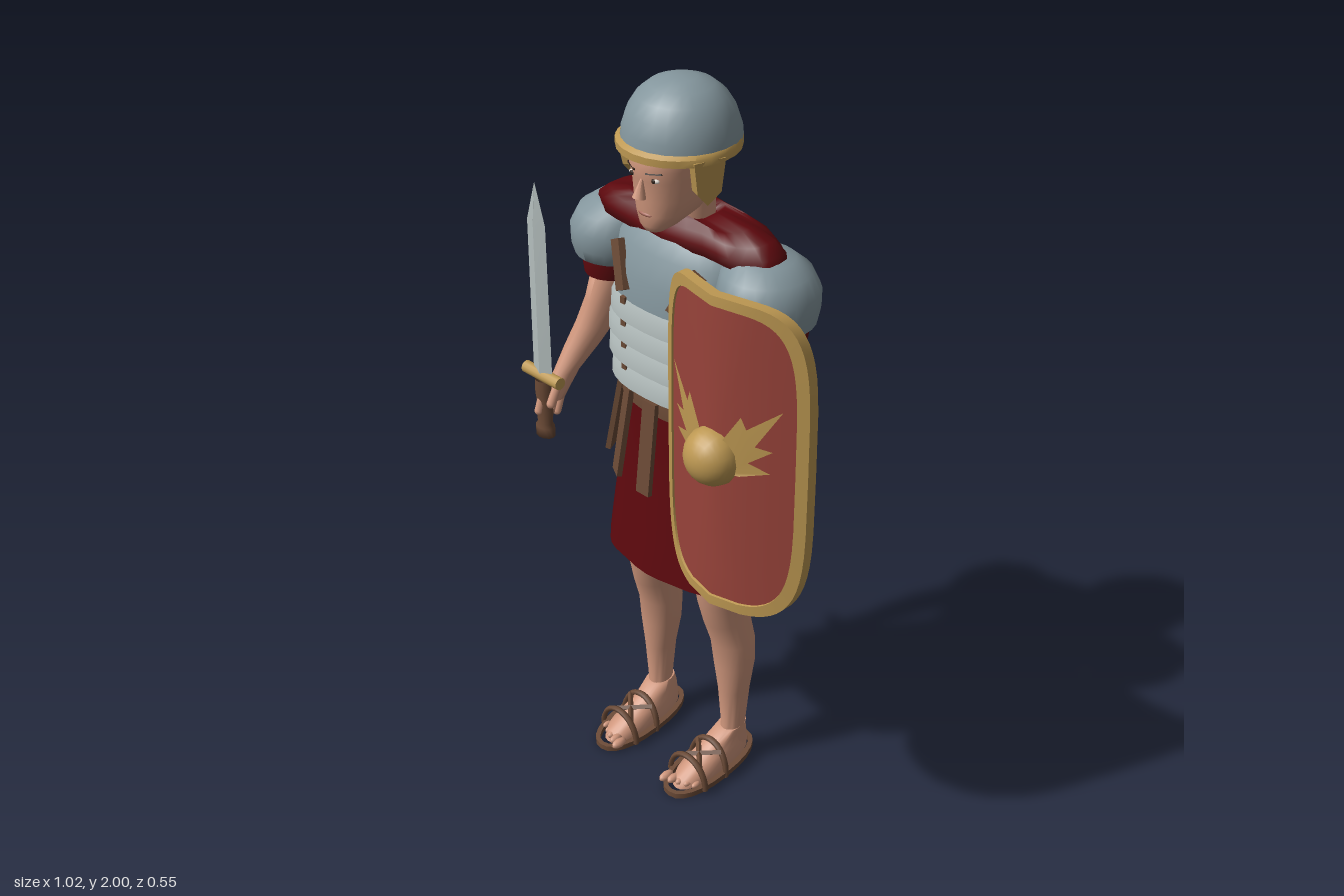
import * as THREE from 'three';
import { toCreasedNormals } from 'three/addons/utils/BufferGeometryUtils.js';

const mat = (name, color, side = THREE.FrontSide) => {
  const m = new THREE.MeshStandardMaterial({ color, side });
  m.name = name;
  return m;
};
const D = THREE.DoubleSide;
const M = {
  skin: mat('skin', 0xcf967c), lips: mat('lips', 0xa8685a),
  steel: mat('steel', 0x84969d, D), plate: mat('bright plate', 0xb2bcbb, D),
  gold: mat('brass', 0xbd9852, D), leather: mat('leather', 0x6b4a36, D),
  cloth: mat('dark red cloth', 0x5c080d, D), red: mat('shield red', 0x98433a),
  white: mat('eye white', 0xe0d8d0), dark: mat('dark brown', 0x33241c),
};

function add(parent, name, geo, m, x = 0, y = 0, z = 0) {
  const mesh = new THREE.Mesh(geo, m);
  mesh.name = name;
  mesh.position.set(x, y, z);
  parent.add(mesh);
  return mesh;
}

// Joins closed loops of points into a surface, with optional end caps
function skinLoops(rows, capStart, capEnd, crease = 0.9) {
  const n = rows[0].length, pos = rows.flat(2), idx = [];
  for (let i = 0; i < rows.length - 1; i++)
    for (let j = 0; j < n; j++) {
      const a = i * n + j, b = i * n + (j + 1) % n;
      idx.push(a, b, b + n, a, b + n, a + n);
    }
  const cap = (r, flip) => {
    const c = pos.length / 3, o = r * n;
    for (let k = 0; k < 3; k++) pos.push(rows[r].reduce((s, p) => s + p[k], 0) / n);
    for (let j = 0; j < n; j++) {
      const a = o + j, b = o + (j + 1) % n;
      idx.push(c, flip ? b : a, flip ? a : b);
    }
  };
  if (capStart) cap(0, true);
  if (capEnd) cap(rows.length - 1, false);
  const g = new THREE.BufferGeometry();
  g.setAttribute('position', new THREE.Float32BufferAttribute(pos, 3));
  g.setIndex(idx);
  return toCreasedNormals(g, crease);
}

const pw = (v, p) => Math.sign(v) * Math.abs(v) ** (2 / p);

// Upright loft; each ring is [y, centre x, centre z, radius x, radius z], bottom to top
function loft(rings, { n = 24, p = 2, start = true, end = true, warp, crease } = {}) {
  const rows = rings.map(([y, cx, cz, rx, rz]) => Array.from({ length: n }, (_, j) => {
    const a = j / n * Math.PI * 2;
    const v = [cx + rx * pw(Math.sin(a), p), y, cz + rz * pw(Math.cos(a), p)];
    return warp ? warp(v, a) : v;
  }));
  return skinLoops(rows, start, end, crease);
}

// Flat strip between a lower and an upper point, turned about its length
function strip(parent, name, from, to, w, t, m, turn = 0) {
  const a = new THREE.Vector3(...from), d = new THREE.Vector3(...to).sub(a);
  const mesh = add(parent, name, new THREE.BoxGeometry(w, d.length(), t).rotateY(turn), m);
  mesh.position.copy(a).addScaledVector(d, 0.5);
  mesh.quaternion.setFromUnitVectors(new THREE.Vector3(0, 1, 0), d.normalize());
}

function addHead(g) {
  add(g, 'neck', loft([[1.56, 0, -0.085, 0.07, 0.07], [1.64, 0, -0.08, 0.06, 0.065], [1.76, 0, -0.085, 0.06, 0.062]]), M.skin);
  add(g, 'head', loft([
    [1.645, 0, 0.035, 0.026, 0.026], [1.66, 0, 0.022, 0.045, 0.047], [1.69, 0, -0.01, 0.068, 0.082],
    [1.73, 0, -0.033, 0.082, 0.109], [1.78, 0, -0.036, 0.09, 0.114], [1.81, 0, -0.034, 0.093, 0.12],
    [1.85, 0, -0.04, 0.094, 0.114], [1.9, 0, -0.045, 0.085, 0.1]], { p: 2.2, crease: 1.4 }), M.skin);
  const nose = add(g, 'nose', new THREE.ConeGeometry(0.017, 0.062, 8), M.skin, 0, 1.768, 0.08);
  nose.rotation.x = -0.24;
  add(g, 'mouth', new THREE.SphereGeometry(0.024, 12, 6).scale(1, 0.25, 0.35), M.lips, 0, 1.692, 0.067);
  for (const s of [-1, 1]) {
    add(g, 'eye', new THREE.SphereGeometry(0.014, 12, 8).scale(1, 0.5, 0.5), M.white, s * 0.036, 1.788, 0.069);
    add(g, 'iris', new THREE.SphereGeometry(0.006, 8, 6).scale(1, 1, 0.6), M.dark, s * 0.036, 1.788, 0.075);
    strip(g, 'eyebrow', [s * 0.018, 1.804, 0.082], [s * 0.056, 1.808, 0.066], 0.005, 0.006, M.dark);
  }
  // Helmet bowl, rim and cheek guards
  add(g, 'helmetBowl', loft([
    [1.85, 0, -0.054, 0.146, 0.146], [1.885, 0, -0.054, 0.143, 0.143], [1.925, 0, -0.054, 0.13, 0.13],
    [1.96, 0, -0.054, 0.108, 0.108], [1.985, 0, -0.054, 0.078, 0.078], [2, 0, -0.054, 0.036, 0.036]],
  { start: false, crease: 1.2 }), M.steel);
  add(g, 'helmetRim', loft([[1.842, 0, -0.049, 0.138, 0.138], [1.838, 0, -0.045, 0.151, 0.152],
    [1.856, 0, -0.045, 0.151, 0.152], [1.864, 0, -0.052, 0.145, 0.146]], { start: false, end: false }), M.gold);
  const cheek = new THREE.Shape([[-0.05, 0], [0.035, 0], [0.02, -0.085], [-0.01, -0.12], [-0.045, -0.09]]
    .map(([x, y]) => new THREE.Vector2(x, y)));
  for (const s of [-1, 1]) {
    const c = add(g, 'cheekGuard', new THREE.ExtrudeGeometry(cheek, { depth: 0.026, bevelEnabled: false })
      .translate(0, 0, -0.013).rotateY(-Math.PI / 2), M.gold, s * 0.129, 1.85, 0.0);
    c.rotation.set(0, -s * 0.25, -s * 0.12);
  }
}

function addTorso(g) {
  // Breastplate and overlapping waist bands
  add(g, 'breastplate', loft([
    [1.43, 0, -0.088, 0.208, 0.155], [1.5, 0, -0.093, 0.212, 0.155], [1.57, 0, -0.103, 0.21, 0.142],
    [1.615, 0, -0.1, 0.18, 0.115], [1.635, 0, -0.09, 0.11, 0.085]], { n: 32, p: 2.4 }), M.steel);
  for (let i = 0; i < 4; i++) {
    const y = 1.375 - i * 0.062, r = [0.205, 0.217, 0.216, 0.206][i];
    add(g, 'waistBand', loft([[y, 0, -0.088, r + 0.01, 0.165], [y + 0.035, 0, -0.088, r + 0.008, 0.163],
      [y + 0.066, 0, -0.088, r - 0.006, 0.15]], { n: 32, p: 2.5, crease: 0.6 }), M.plate);
    for (const s of [-1, 1])
      add(g, 'buckle', new THREE.BoxGeometry(0.016, 0.018, 0.014), M.leather, s * 0.088, y + 0.053, 0.06);
  }
  for (const s of [-1, 1])
    strip(g, 'chestStrap', [s * 0.088, 1.455, 0.064], [s * 0.14, 1.565, 0.03], 0.04, 0.018, M.leather, s * 0.25);
  // Neck scarf lying over the shoulders
  add(g, 'scarf', loft([
    [1.59, 0, -0.078, 0.275, 0.075], [1.6, 0, -0.08, 0.3, 0.093], [1.625, 0, -0.08, 0.293, 0.094], [1.65, 0, -0.08, 0.262, 0.082],
    [1.667, 0, -0.08, 0.2, 0.066], [1.672, 0, -0.08, 0.09, 0.064], [1.65, 0, -0.08, 0.06, 0.058]],
  { n: 36, p: 2.6, crease: 1.2, warp: ([x, y, z], a) => [x, y + 0.004 * Math.sin(5 * a), z + 0.004 * Math.cos(9 * a)] }), M.cloth);
  // Belt, tunic skirt and hanging straps
  add(g, 'belt', loft([[1.132, 0, -0.088, 0.204, 0.143], [1.165, 0, -0.088, 0.202, 0.143], [1.2, 0, -0.088, 0.19, 0.136]], { n: 32, p: 2.2 }), M.leather);
  add(g, 'skirt', loft([
    [0.655, 0, -0.096, 0.262, 0.178], [0.76, 0, -0.096, 0.249, 0.165], [0.9, 0, -0.096, 0.23, 0.147],
    [1.04, 0, -0.096, 0.206, 0.133], [1.17, 0, -0.09, 0.188, 0.126]],
  { n: 48, p: 2.2, start: false, end: false, warp: ([x, y, z], a) => {
    const k = (1.17 - y) / 0.515, f = 1 + 0.015 * k * Math.cos(10 * a);
    return [x * f, y + (Math.cos(a) < 0 ? -0.035 * Math.cos(a) * k * k : 0), -0.096 + (z + 0.096) * f];
  } }), M.cloth);
  for (const a of [-1.15, -0.5, 0, 0.5, 1.15])
    strip(g, 'beltStrap', [0.255 * Math.sin(a), 0.91, -0.085 + 0.172 * Math.cos(a)],
      [0.2 * Math.sin(a), 1.17, -0.085 + 0.143 * Math.cos(a)], 0.045, 0.014, M.leather, a);
}

function addArm(g, s) {
  const arm = new THREE.Group();
  arm.name = s < 0 ? 'rightArm' : 'leftArm';
  g.add(arm);
  add(arm, 'shoulderGuard', loft([
    [1.455, s * 0.268, -0.088, 0.108, 0.112], [1.49, s * 0.262, -0.088, 0.12, 0.126], [1.535, s * 0.258, -0.088, 0.124, 0.129],
    [1.58, s * 0.25, -0.088, 0.108, 0.112], [1.61, s * 0.235, -0.088, 0.08, 0.08], [1.625, s * 0.22, -0.088, 0.035, 0.035]],
  { crease: 1.2 }), M.steel);
  add(arm, 'sleeve', loft([[1.4, s * 0.272, -0.09, 0.078, 0.092], [1.44, s * 0.27, -0.09, 0.086, 0.098], [1.5, s * 0.26, -0.09, 0.08, 0.09]]), M.cloth);
  add(arm, 'limb', loft([
    [1.055, s * 0.338, 0.086, 0.024, 0.03], [1.085, s * 0.338, 0.07, 0.029, 0.036], [1.125, s * 0.332, 0.045, 0.029, 0.038],
    [1.185, s * 0.322, -0.002, 0.039, 0.053], [1.25, s * 0.308, -0.045, 0.046, 0.063], [1.32, s * 0.292, -0.07, 0.049, 0.066],
    [1.42, s * 0.272, -0.09, 0.058, 0.068]], { n: 16, crease: 1.4 }), M.skin);
  for (let i = 0; i < 4; i++) {
    const f = add(arm, 'finger', new THREE.CapsuleGeometry(0.011, 0.055, 3, 8), M.skin, s * (0.338 + 0.006 * i), 1.035 + 0.004 * i, 0.07 + i * 0.016);
    f.rotation.x = -0.35;
  }
  const thumb = add(arm, 'thumb', new THREE.CapsuleGeometry(0.012, 0.045, 3, 8), M.skin, s * 0.315, 1.075, 0.108);
  thumb.rotation.x = -0.5;
}

function addLeg(g, s) {
  const leg = new THREE.Group();
  leg.name = s < 0 ? 'rightLeg' : 'leftLeg';
  g.add(leg);
  add(leg, 'limb', loft([
    [0.06, s * 0.142, -0.105, 0.036, 0.048], [0.13, s * 0.145, -0.105, 0.031, 0.037], [0.25, s * 0.145, -0.106, 0.042, 0.046],
    [0.34, s * 0.143, -0.108, 0.056, 0.057], [0.42, s * 0.14, -0.104, 0.061, 0.061], [0.5, s * 0.135, -0.084, 0.057, 0.069],
    [0.57, s * 0.131, -0.074, 0.062, 0.076], [0.66, s * 0.127, -0.068, 0.069, 0.084], [0.8, s * 0.12, -0.075, 0.078, 0.09]],
  { crease: 1.4 }), M.skin);
  // Foot, with the heel raised a little
  const fx = s * 0.138, slope = ([x, y, z]) => [x, y + (0.14 - z) * 0.1, z];
  add(leg, 'foot', loft([
    [0.006, fx, -0.022, 0.05, 0.134], [0.03, fx, -0.028, 0.051, 0.128], [0.052, fx, -0.055, 0.042, 0.098],
    [0.075, fx, -0.08, 0.037, 0.07], [0.1, s * 0.143, -0.1, 0.033, 0.045]], { crease: 1.2, p: 2.3, warp: slope }), M.skin);
  for (let i = 0; i < 5; i++)
    add(leg, 'toe', new THREE.SphereGeometry(0.015 - 0.0015 * i, 8, 6).scale(0.9, 0.9, 1.7), M.skin,
      fx + s * (-0.042 + i * 0.021), 0.025, 0.108 - 0.008 * i);
  // Open sandal edge and straps
  add(leg, 'sandalEdge', loft([[0, fx, -0.015, 0.056, 0.144], [0, fx, -0.015, 0.072, 0.156], [0.016, fx, -0.015, 0.072, 0.156],
    [0.016, fx, -0.015, 0.056, 0.144], [0, fx, -0.015, 0.056, 0.144]], { p: 2.3, start: false, end: false, warp: slope }), M.leather);
  for (const [z, h, tilt] of [[0.065, 0.08, 0], [-0.015, 0.088, -0.1]]) {
    const t = add(leg, 'sandalStrap', new THREE.TorusGeometry(0.068, 0.007, 6, 16, Math.PI).scale(1, h / 0.068, 1.3), M.leather, fx, 0.014, z);
    t.rotation.x = tilt;
  }
  for (const k of [-1, 1]) strip(leg, 'crossStrap', [fx - k * 0.045, 0.075, 0.065], [fx + k * 0.045, 0.085, -0.02], 0.012, 0.01, M.leather);
}

function addSword(root) {
  const g = new THREE.Group();
  g.name = 'sword';
  g.position.set(-0.445, 0, 0.107);
  root.add(g);
  add(g, 'blade', loft([[1.13, 0, 0, 0.036, 0.013], [1.56, 0, 0, 0.034, 0.011], [1.668, 0, 0, 0.001, 0.001]], { n: 4, crease: 0.1 }), M.plate);
  add(g, 'guard', new THREE.CylinderGeometry(0.017, 0.017, 0.134, 12).rotateZ(Math.PI / 2), M.gold, 0, 1.122, 0);
  add(g, 'grip', new THREE.LatheGeometry([[0.001, 0.94], [0.03, 0.942], [0.03, 0.97], [0.023, 0.98], [0.027, 1.02], [0.023, 1.04],
    [0.027, 1.07], [0.026, 1.11]].map(([x, y]) => new THREE.Vector2(x, y)), 12).scale(1, 1, 0.75), M.leather);
}

function addShield(root) {
  const g = new THREE.Group();
  g.name = 'shield';
  g.position.set(0.278, 1.248, 0);
  root.add(g);
  const bow = x => 0.208 - 0.088 * (Math.abs(x) / 0.228) ** 1.5;
  // Rounded outline of the shield, curved by the given share of the full bow
  const loop = (hw, hh, dz, share = 1) => Array.from({ length: 56 }, (_, j) => {
    const a = j / 56 * Math.PI * 2, x = hw * pw(Math.cos(a), 4.5);
    return [x, hh * pw(Math.sin(a), 4.5), 0.12 + (bow(x) - 0.12) * share + dz];
  });
  add(g, 'shieldFace', skinLoops([1, 0.8, 0.6, 0.4, 0.2, 0.02].map(k => loop(0.212 * k, 0.407 * k, 0.006)), false, true), M.red);
  add(g, 'shieldBack', skinLoops([[1, 1], [0.92, 0.5], [0.8, 0.35], [0.5, 0.35], [0.02, 0.35]]
    .map(([k, share]) => loop(0.226 * k, 0.421 * k, -0.014, share)), false, true), M.leather);
  add(g, 'shieldRim', skinLoops([loop(0.228, 0.423, -0.015), loop(0.228, 0.423, 0.012),
    loop(0.202, 0.397, 0.012), loop(0.2, 0.395, 0.002)], false, false, 0.7), M.gold);
  add(g, 'shieldBoss', new THREE.SphereGeometry(0.074, 16, 8, 0, Math.PI * 2, 0, Math.PI / 2)
    .rotateX(Math.PI / 2).scale(1, 1, 0.95), M.gold, 0, 0, 0.208);
  // Feathered wings either side of the boss
  for (const s of [-1, 1]) {
    const wing = new THREE.ShapeGeometry(new THREE.Shape([[0.03, -0.03], [0.08, -0.025], [0.15, 0], [0.1, 0.018], [0.155, 0.06], [0.115, 0.065],
      [0.175, 0.17], [0.095, 0.105], [0.082, 0.135], [0.03, 0.05]].map(([x, y]) => new THREE.Vector2(s * x, y))));
    const p = wing.attributes.position;
    for (let i = 0; i < p.count; i++) p.setZ(i, bow(p.getX(i)) + 0.015);
    wing.computeVertexNormals();
    add(g, 'shieldWing', wing, M.gold);
  }
}

export function createModel() {
  const root = new THREE.Group();
  root.name = 'legionary';
  const body = new THREE.Group();
  body.name = 'body';
  body.position.x = -0.09;
  root.add(body);
  addHead(body);
  addTorso(body);
  for (const s of [-1, 1]) {
    addArm(body, s);
    addLeg(body, s);
  }
  addSword(root);
  addShield(root);
  return root;
}
